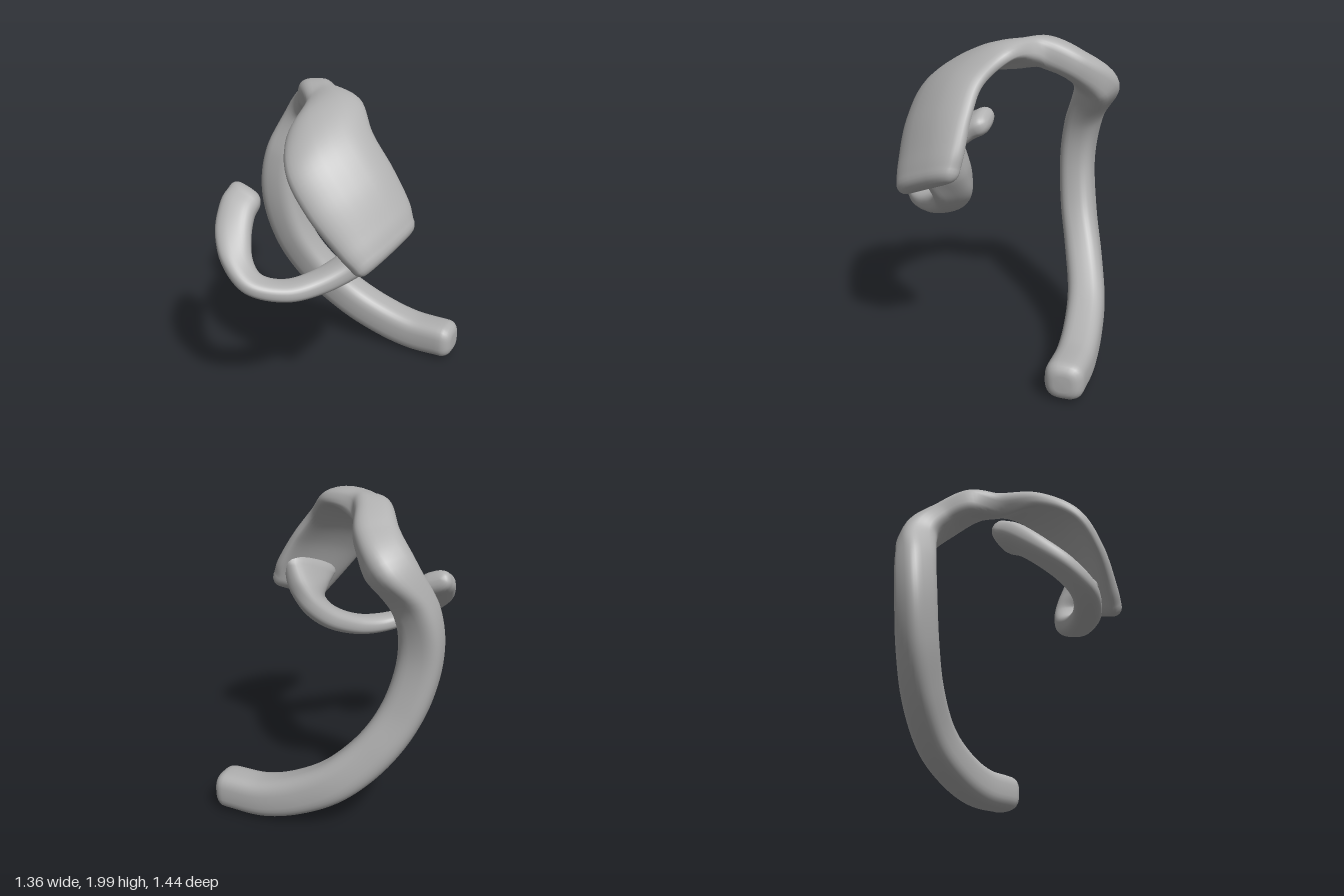
import * as THREE from 'three';

// Each station: [centre], [half-width vector], half-thickness, bow (dishing)
const bandStations = [
  // round hook tail
  [[0.605, 0.133, -0.6], [0, 0, 0.12], 0.12, 0],
  [[0.35, 0.133, -0.6], [0, 0, 0.12], 0.125, 0],
  [[0.1, 0.205, -0.58], [0, 0, 0.12], 0.128, 0],
  [[-0.13, 0.335, -0.54], [0, 0, 0.12], 0.13, 0],
  [[-0.34, 0.55, -0.46], [0, 0, 0.12], 0.13, 0],
  [[-0.48, 0.81, -0.385], [0, 0, 0.115], 0.13, 0],
  [[-0.55, 1.12, -0.35], [0, 0, 0.11], 0.13, 0],
  [[-0.53, 1.4, -0.39], [-0.02, 0, 0.115], 0.125, 0],
  [[-0.41, 1.65, -0.493], [-0.075, 0.02, 0.118], 0.122, 0],
  // arch over the top
  [[-0.285, 1.8, -0.385], [-0.11, 0.01, 0.07], 0.1, 0],
  [[-0.2, 1.885, -0.22], [-0.095, 0, 0.06], 0.1, 0],
  // broad dished pad
  [[-0.085, 1.885, -0.1], [-0.06, -0.05, 0.095], 0.085, 0.01],
  [[0.025, 1.845, 0.09], [-0.14, -0.075, 0.2], 0.065, 0.04],
  [[0.15, 1.715, 0.255], [-0.15, -0.07, 0.24], 0.06, 0.05],
  [[0.3, 1.535, 0.295], [-0.135, -0.085, 0.255], 0.06, 0.05],
  [[0.445, 1.34, 0.287], [-0.1, -0.1, 0.238], 0.07, 0.025],
  [[0.505, 1.245, 0.283], [-0.08, -0.095, 0.217], 0.075, 0.01],
];

const armStations = [
  // root flaring into the full width of the pad
  [[0.425, 1.36, 0.25], [0.08, 0.08, -0.19], 0.085, 0],
  [[0.41, 1.25, 0.205], [0.03, 0.03, -0.16], 0.1, 0],
  [[0.37, 1.14, 0.185], [-0.045, 0.01, -0.115], 0.085, 0],
  [[0.275, 1.035, 0.245], [-0.07, 0, -0.075], 0.075, 0],
  [[0.145, 0.955, 0.39], [-0.065, 0, -0.06], 0.065, 0],
  // curl and paddle tip
  [[0.01, 0.935, 0.54], [-0.05, 0, -0.07], 0.057, 0],
  [[-0.15, 0.98, 0.635], [0, 0, -0.085], 0.055, 0],
  [[-0.28, 1.075, 0.605], [0.06, -0.01, -0.07], 0.06, 0],
  [[-0.375, 1.19, 0.5], [0.1, -0.01, -0.045], 0.068, 0],
  [[-0.42, 1.295, 0.38], [0.113, -0.03, -0.01], 0.075, 0],
  [[-0.425, 1.345, 0.29], [0.108, -0.04, 0], 0.075, 0],
];

// Sweeps a soft rectangular section through the stations, with rounded ends
function sweep(stations, name, material, steps, power) {
  const curve = (pts) => new THREE.CatmullRomCurve3(pts, false, 'catmullrom', 0.5);
  const centre = curve(stations.map((s) => new THREE.Vector3(...s[0])));
  const width = curve(stations.map((s) => new THREE.Vector3(...s[1])));
  const depth = curve(stations.map((s) => new THREE.Vector3(s[2], s[3], 0)));
  const sides = 32, capSteps = 5;
  const positions = [], index = [];
  const soft = (v) => Math.sign(v) * Math.abs(v) ** power;

  const ring = (t, angle, end) => {
    const c = centre.getPoint(t), w = width.getPoint(t), d = depth.getPoint(t);
    const tangent = centre.getTangent(t);
    const n = tangent.clone().cross(w).normalize();
    const r = Math.min(0.07, d.x * 0.9);
    const inset = r * (1 - Math.cos(angle));
    c.addScaledVector(tangent, end * r * Math.sin(angle));
    w.setLength(w.length() - inset);
    for (let j = 0; j < sides; j++) {
      const a = (j / sides) * Math.PI * 2;
      const u = soft(Math.cos(a)), v = soft(Math.sin(a));
      const p = c.clone().addScaledVector(w, u)
        .addScaledVector(n, (d.x - inset) * v + d.y * (u * u - 1));
      positions.push(p.x, p.y, p.z);
    }
    return c;
  };

  const first = [];
  for (let k = capSteps; k > 0; k--) first.push(ring(0, (k / capSteps) * Math.PI / 2, -1));
  for (let i = 0; i <= steps; i++) ring(i / steps, 0, 0);
  let last;
  for (let k = 1; k <= capSteps; k++) last = ring(1, (k / capSteps) * Math.PI / 2, 1);

  const rings = positions.length / 3 / sides;
  for (let i = 0; i < rings - 1; i++) {
    for (let j = 0; j < sides; j++) {
      const k = (j + 1) % sides;
      const a = i * sides + j, b = i * sides + k;
      index.push(a, b, b + sides, a, b + sides, a + sides);
    }
  }
  // close both ends
  const tip = rings * sides;
  positions.push(...first[0].toArray(), ...last.toArray());
  for (let j = 0; j < sides; j++) {
    const k = (j + 1) % sides;
    index.push(tip, k, j, tip + 1, tip - sides + j, tip - sides + k);
  }

  const geometry = new THREE.BufferGeometry();
  geometry.setAttribute('position', new THREE.Float32BufferAttribute(positions, 3));
  geometry.setIndex(index);
  geometry.computeVertexNormals();
  const mesh = new THREE.Mesh(geometry, material);
  mesh.name = name;
  return mesh;
}

export function createModel() {
  const model = new THREE.Group();
  model.name = 'earHookClip';
  const grey = new THREE.MeshStandardMaterial({ color: 0xb0b0b0 });
  grey.name = 'grey';
  model.add(
    sweep(bandStations, 'hookAndPad', grey, 128, 0.7),
    sweep(armStations, 'curledArm', grey, 80, 0.8),
  );
  return model;
}
